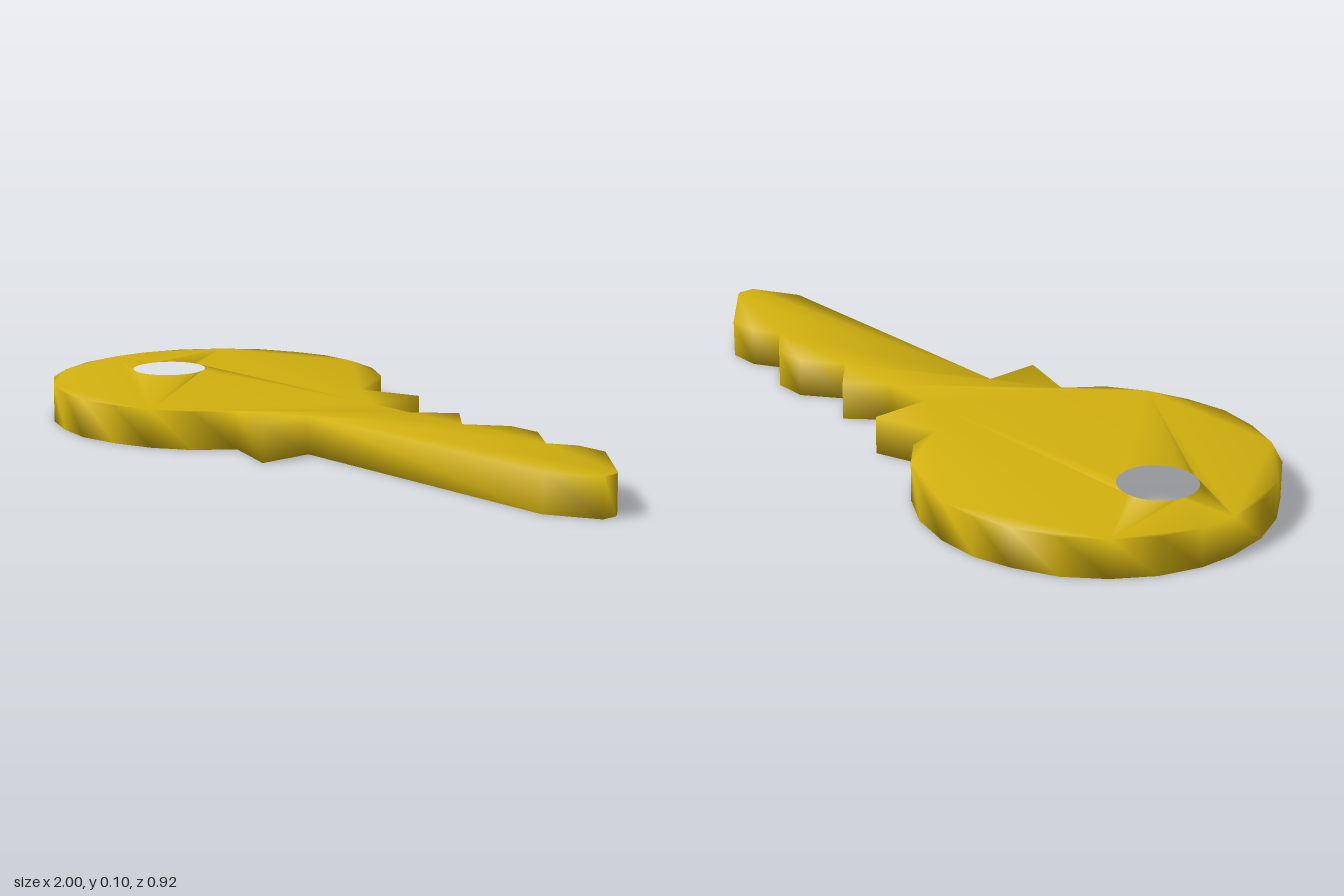
import * as THREE from 'three';
import { mergeVertices } from 'three/addons/utils/BufferGeometryUtils.js';

const THICKNESS = 0.103;

// Outline as [x, z], seen from above
const bowBack = [
  [-1, 0.01], [-0.995, -0.09], [-0.96, -0.2], [-0.895, -0.3], [-0.81, -0.38], [-0.7, -0.435],
  [-0.6, -0.464], [-0.485, -0.464], [-0.365, -0.435], [-0.26, -0.375], [-0.18, -0.3],
];
const collarBack = [[-0.15, -0.2], [0.02, -0.26], [0.02, -0.093]];
const teeth = [
  [0.165, -0.093], [0.255, -0.185], [0.36, -0.093], [0.46, -0.172], [0.555, -0.172],
  [0.66, -0.093], [0.73, -0.135], [0.82, -0.135],
];
const tip = [[0.99, 0.005], [1, 0.02], [1, 0.065], [0.87, 0.137]];
const collarFront = [[0.02, 0.137], [0.02, 0.292], [-0.15, 0.24]];
const bowFront = [
  [-0.22, 0.335], [-0.315, 0.4], [-0.425, 0.44], [-0.54, 0.459], [-0.655, 0.44],
  [-0.76, 0.4], [-0.86, 0.33], [-0.93, 0.24], [-0.98, 0.13],
];

export function createModel() {
  const group = new THREE.Group();
  group.name = 'key';
  const brass = new THREE.MeshStandardMaterial({ color: 0xd1b00f });
  brass.name = 'brass';

  // Flat blank with the ring hole
  const outline = [...bowBack, ...collarBack, ...teeth, ...tip, ...collarFront, ...bowFront];
  const shape = new THREE.Shape(outline.map(([x, z]) => new THREE.Vector2(x, -z)));
  const hole = new THREE.Path();
  hole.absarc(-0.745, -0.008, 0.103, 0, Math.PI * 2, true);
  shape.holes.push(hole);

  let geometry = new THREE.ExtrudeGeometry(shape, {
    depth: THICKNESS, bevelEnabled: false, curveSegments: 16,
  });
  geometry.rotateX(-Math.PI / 2);

  // Weld the rims so the shading rolls softly over the edges
  geometry.deleteAttribute('normal');
  geometry.deleteAttribute('uv');
  geometry.clearGroups();
  geometry = mergeVertices(geometry, 1e-4);
  geometry.computeVertexNormals();

  const blank = new THREE.Mesh(geometry, brass);
  blank.name = 'keyBlank';
  group.add(blank);
  return group;
}
